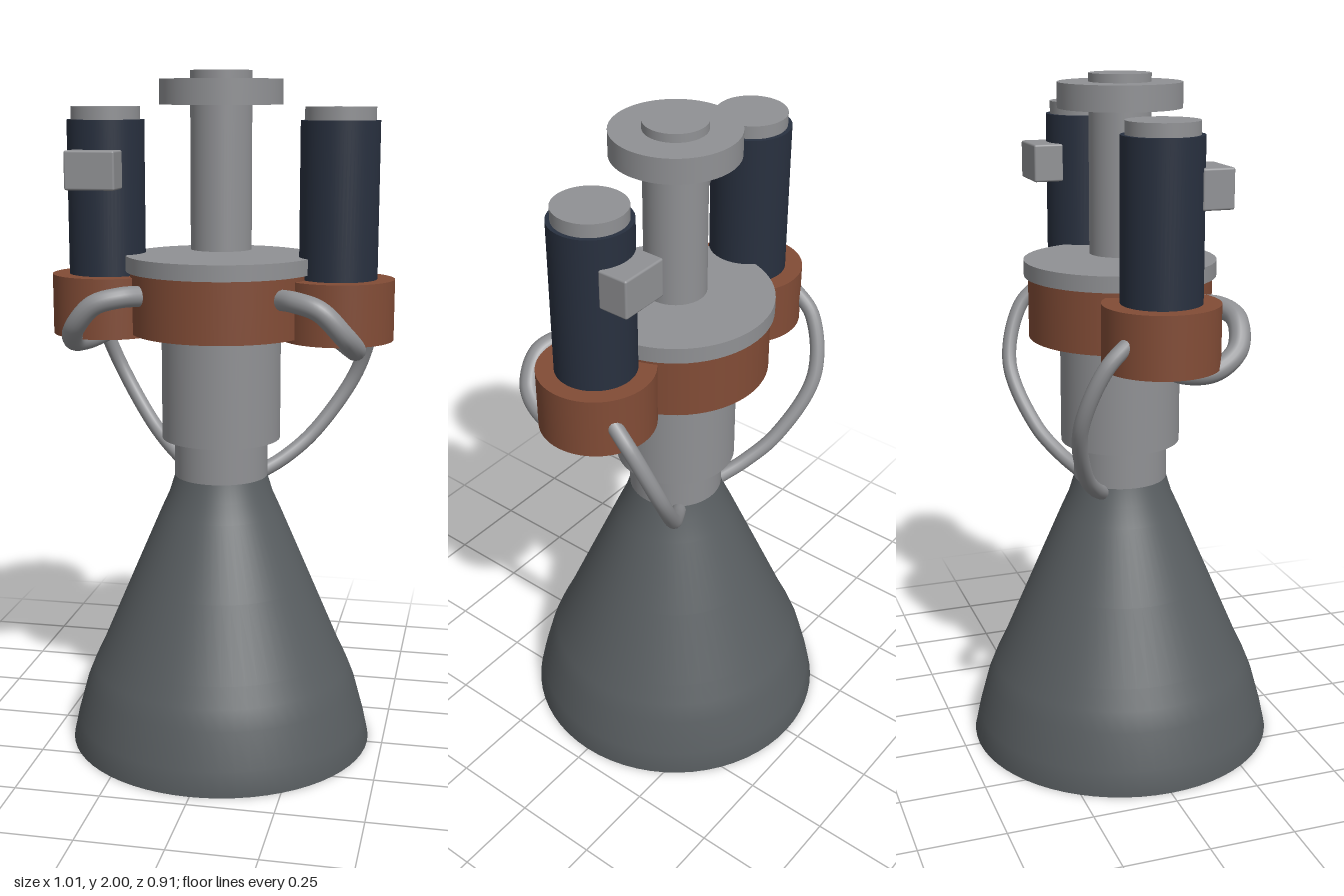
import * as THREE from 'three';
import { RoundedBoxGeometry } from 'three/addons/geometries/RoundedBoxGeometry.js';

function material(name, color) {
  const m = new THREE.MeshStandardMaterial({ color });
  m.name = name;
  return m;
}

export function createModel() {
  const group = new THREE.Group();
  const steel = material('steel grey', 0x909194);
  const bellGrey = material('dark bell grey', 0x585d60);
  const copper = material('copper brown', 0x824c36);
  const navy = material('navy', 0x28303f);

  const add = (name, geometry, mat, parent = group) => {
    const mesh = new THREE.Mesh(geometry, mat);
    mesh.name = name;
    parent.add(mesh);
    return mesh;
  };
  // Upright cylinder between two heights
  const drum = (name, r, y0, y1, mat, parent = group, x = 0) => {
    const mesh = add(name, new THREE.CylinderGeometry(r, r, y1 - y0, 64), mat, parent);
    mesh.position.set(x, (y0 + y1) / 2, 0);
    return mesh;
  };
  const pipe = (name, points, r, side, parent) => {
    const curve = new THREE.CatmullRomCurve3(
      points.map(([x, y, z]) => new THREE.Vector3(x * side, y, z)));
    add(name, new THREE.TubeGeometry(curve, 48, r, 16), steel, parent);
  };

  // Nozzle bell: hollow, with a thin rim
  const wall = [[0.455, 0], [0.44, 0.07], [0.41, 0.18], [0.388, 0.235], [0.36, 0.294],
    [0.27, 0.505], [0.18, 0.715], [0.155, 0.77], [0.138, 0.825]];
  const inner = wall.map(([r, y]) => new THREE.Vector2(r - 0.012, y)).reverse();
  const outer = wall.map(([r, y]) => new THREE.Vector2(r, y));
  add('nozzleBell', new THREE.LatheGeometry([...inner, ...outer], 64), bellGrey);

  // Central stack
  drum('throat', 0.138, 0.825, 0.945, steel);
  drum('combustionChamber', 0.175, 0.94, 1.265, steel);
  drum('injectorHousing', 0.265, 1.257, 1.436, copper);
  drum('injectorPlate', 0.277, 1.435, 1.481, steel);
  drum('gimbalShaft', 0.088, 1.497, 2, steel);
  drum('gimbalFlange', 0.176, 1.905, 1.976, steel);

  // Pump assemblies on both sides; the control boxes face opposite ways
  for (const side of [1, -1]) {
    const pump = new THREE.Group();
    pump.name = side > 0 ? 'leftPump' : 'rightPump';
    group.add(pump);
    const x = 0.341 * side;
    drum('pumpHousing', 0.162, 1.245, 1.42, copper, pump, x);
    drum('pumpMotor', 0.112, 1.415, 1.863, navy, pump, x);
    drum('pumpCap', 0.1, 1.86, 1.9, steel, pump, x);
    add('controlBox', new RoundedBoxGeometry(0.147, 0.11, 0.09, 2, 0.006), steel, pump)
      .position.set(0.343 * side, 1.725, -0.129 * side);

    // Feed pipe loops from the injector to the underside of the pump
    pipe('feedPipe', [[0.2, 1.375, 0.16], [0.25, 1.375, 0.205], [0.32, 1.355, 0.228],
      [0.385, 1.285, 0.205], [0.408, 1.237, 0.13], [0.39, 1.23, 0.06], [0.35, 1.245, 0]],
    0.03, side, pump);
    // Cooling pipe runs down the back from the pump to the bell
    pipe('coolingPipe', [[0.42, 1.345, -0.11], [0.424, 1.27, -0.185], [0.372, 1.1, -0.238],
      [0.255, 0.925, -0.19], [0.17, 0.85, -0.135], [0.1, 0.81, -0.09]],
    0.022, side, pump);
  }
  return group;
}
